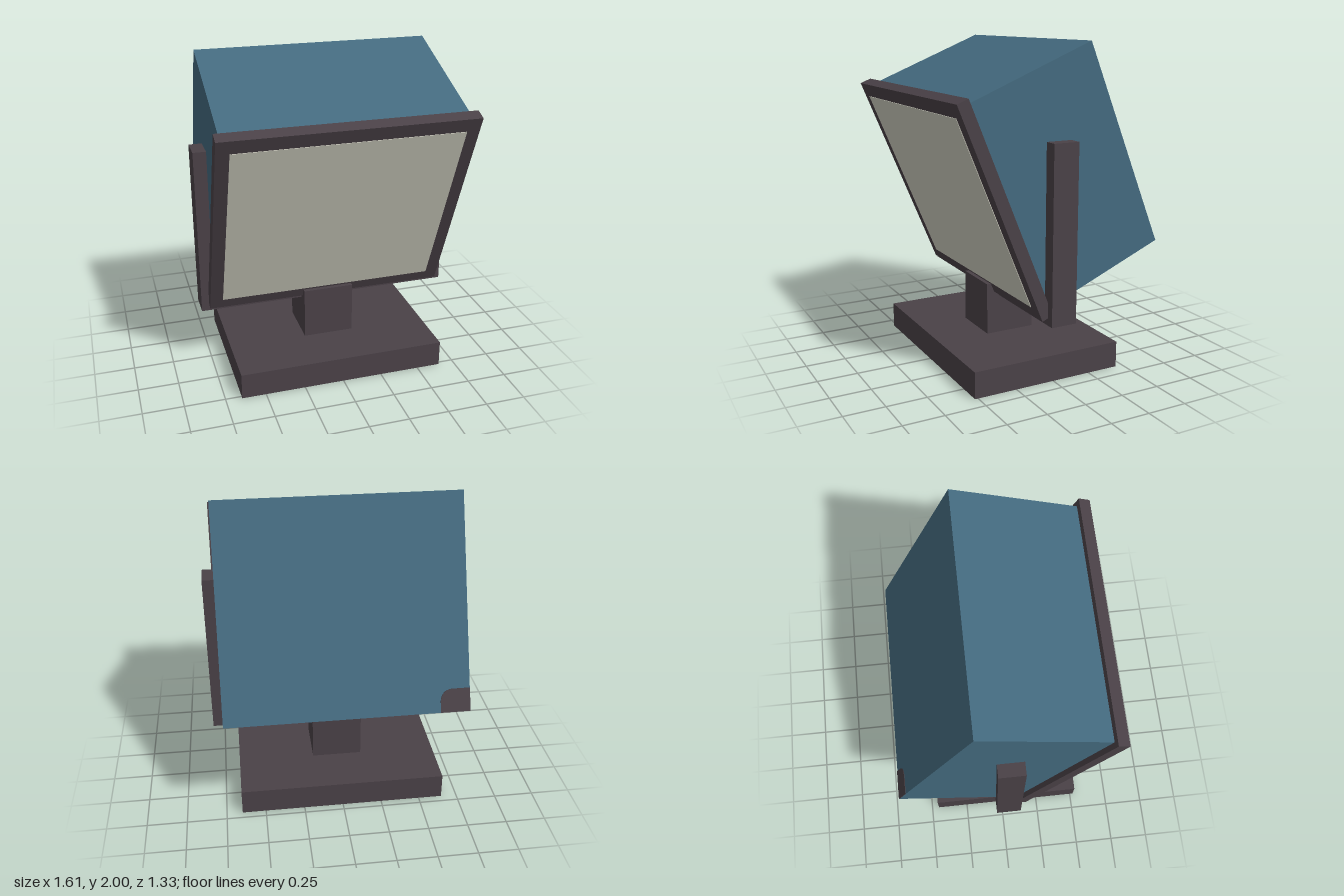
import * as THREE from 'three';

const TILT = Math.atan2(0.493, 1.194); // forward lean of the monitor

export function createModel() {
  const model = new THREE.Group();
  model.name = 'monitorOnStand';

  const plastic = new THREE.MeshStandardMaterial({ color: 0x4a4147 });
  plastic.name = 'dark plastic';
  const casing = new THREE.MeshStandardMaterial({ color: 0x446a7f });
  casing.name = 'blue casing';
  const glass = new THREE.MeshStandardMaterial({ color: 0xcfcec0 });
  glass.name = 'pale screen';

  // Box given by its minimum and maximum on each axis
  const addBox = (parent, name, material, [x0, x1], [y0, y1], [z0, z1]) => {
    const mesh = new THREE.Mesh(new THREE.BoxGeometry(x1 - x0, y1 - y0, z1 - z0), material);
    mesh.position.set((x0 + x1) / 2, (y0 + y1) / 2, (z0 + z1) / 2);
    mesh.name = name;
    parent.add(mesh);
    return mesh;
  };

  // Stand: foot, neck and U-shaped bracket
  const stand = new THREE.Group();
  stand.name = 'stand';
  model.add(stand);
  addBox(stand, 'base', plastic, [-0.65, 0.65], [0, 0.163], [-0.453, 0.52]);
  addBox(stand, 'neck', plastic, [-0.16, 0.16], [0.163, 0.49], [-0.128, 0.193]);
  addBox(stand, 'crossbar', plastic, [-0.727, 0.727], [0.408, 0.488], [-0.05, 0.11]);
  addBox(stand, 'rightArm', plastic, [-0.807, -0.727], [0.408, 1.46], [-0.05, 0.11]);
  addBox(stand, 'leftArm', plastic, [0.727, 0.807], [0.408, 1.46], [-0.05, 0.11]);

  // Monitor: built upright around the centre of the casing's front, then tilted
  const monitor = new THREE.Group();
  monitor.name = 'monitor';
  monitor.position.set(0, 1.093, 0.3365);
  monitor.rotation.x = TILT;
  model.add(monitor);
  addBox(monitor, 'casing', casing, [-0.727, 0.727], [-0.646, 0.646], [-0.814, 0]);
  addBox(monitor, 'bezel', plastic, [-0.76, 0.76], [-0.68, 0.68], [0, 0.073]);
  addBox(monitor, 'screen', glass, [-0.682, 0.68], [-0.607, 0.592], [0.071, 0.076]);

  // Small rounded patch in the lower corner of the casing's back
  const patch = new THREE.Shape();
  patch.moveTo(0, 0);
  patch.lineTo(0.178, 0);
  patch.lineTo(0.178, 0.07);
  patch.quadraticCurveTo(0.17, 0.14, 0.1, 0.14);
  patch.lineTo(0, 0.14);
  const badge = new THREE.Mesh(
    new THREE.ExtrudeGeometry(patch, { depth: 0.004, bevelEnabled: false }), plastic);
  badge.name = 'cornerPatch';
  badge.position.set(-0.727, -0.646, -0.817);
  monitor.add(badge);

  return model;
}
